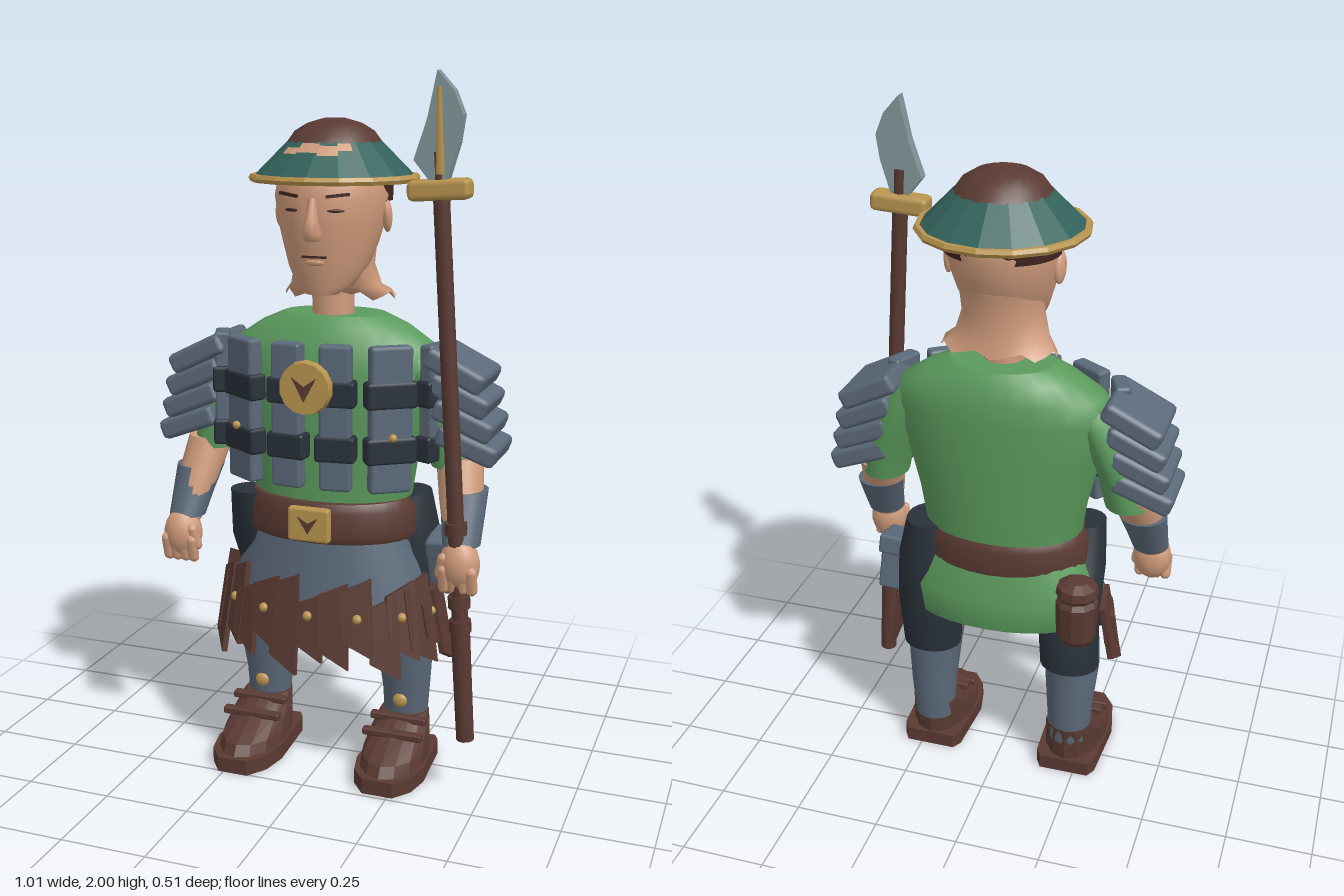
import * as THREE from 'three';
import { RoundedBoxGeometry } from 'three/addons/geometries/RoundedBoxGeometry.js';

const mat = (name, color, side = THREE.FrontSide) => {
  const m = new THREE.MeshStandardMaterial({ color, side });
  m.name = name;
  return m;
};

// Elliptical rings [y, rx, rz, cx, cz], listed bottom to top, joined into a smooth skin
function loft(rings, { n = 20, from = 0, to = Math.PI * 2, caps = true } = {}) {
  const pos = [], idx = [];
  const full = to - from > 6.28, cols = full ? n : n + 1;
  const addRing = ([y, rx, rz, cx = 0, cz = 0]) => {
    for (let j = 0; j < cols; j++) {
      const a = from + (to - from) * j / n;
      pos.push(cx + rx * Math.sin(a), y, cz + rz * Math.cos(a));
    }
  };
  rings.forEach(addRing);
  for (let i = 0; i < rings.length - 1; i++) for (let j = 0; j < n; j++) {
    const k = (j + 1) % cols, a = i * cols + j, b = i * cols + k;
    idx.push(a, b, b + cols, a, b + cols, a + cols);
  }
  if (full && caps) [rings[0], rings[rings.length - 1]].forEach((r, top) => {
    const s = pos.length / 3;
    addRing(r);
    pos.push(r[3] || 0, r[0], r[4] || 0);
    for (let j = 0; j < n; j++) {
      const k = (j + 1) % n;
      idx.push(s + n, s + (top ? j : k), s + (top ? k : j));
    }
  });
  const g = new THREE.BufferGeometry();
  g.setAttribute('position', new THREE.Float32BufferAttribute(pos, 3));
  g.setIndex(idx);
  g.computeVertexNormals();
  return g;
}

const flat = (g) => {
  const f = g.index ? g.toNonIndexed() : g;
  f.computeVertexNormals();
  return f;
};
const slab = (w, h, d, r = 0.01) => new RoundedBoxGeometry(w, h, d, 1, r);
const box = (w, h, d) => new THREE.BoxGeometry(w, h, d);
const cyl = (a, b, h, n = 12, open = false) => new THREE.CylinderGeometry(a, b, h, n, 1, open);
const ball = (r, n = 12) => new THREE.SphereGeometry(r, n, Math.ceil(n * 0.7));
const outline = (pts, depth) => new THREE.ExtrudeGeometry(
  new THREE.Shape(pts.map(([x, y]) => new THREE.Vector2(x, y))), { depth, bevelEnabled: false });

export function createModel() {
  const skin = mat('skin', 0xd09c7c, THREE.DoubleSide), green = mat('green cloth', 0x5b9a5c);
  const teal = mat('teal hat', 0x32625b, THREE.DoubleSide), brown = mat('brown leather', 0x5a3a32);
  const slate = mat('slate blue', 0x5b6979, THREE.DoubleSide), dark = mat('dark cloth', 0x29313a);
  const gold = mat('gold', 0xb8944e), steel = mat('steel', 0x82969a), hair = mat('dark hair', 0x41251f);

  const model = new THREE.Group();
  model.name = 'guard';
  const add = (name, geo, material, p = [0, 0, 0], r = [0, 0, 0], s = [1, 1, 1], parent = model) => {
    const m = new THREE.Mesh(geo, material);
    m.name = name;
    m.position.set(...p);
    m.rotation.set(...r);
    m.scale.set(...s);
    parent.add(m);
    return m;
  };

  // Torso, belt and tunic tail
  add('torso', loft([[0.78, 0.23, 0.155, 0, -0.01], [0.92, 0.25, 0.16, 0, -0.015], [1.08, 0.29, 0.165, 0, -0.015],
    [1.2, 0.325, 0.16, 0, -0.02], [1.26, 0.295, 0.15, 0, -0.025], [1.31, 0.22, 0.13, 0, -0.03],
    [1.34, 0.15, 0.105, 0, -0.03]], { n: 28 }), green);
  add('tunicTail', loft([[0.54, 0.2, 0.11, 0, -0.07], [0.55, 0.275, 0.14, 0, -0.06], [0.64, 0.29, 0.14, 0, -0.06],
    [0.74, 0.245, 0.14, 0, -0.035]], { n: 28 }), green);
  add('belt', loft([[0.71, 0.25, 0.172], [0.73, 0.26, 0.182], [0.8, 0.255, 0.18], [0.825, 0.235, 0.165]], { n: 28 }), brown);
  add('buckle', slab(0.125, 0.1, 0.03), gold, [0, 0.77, 0.187]);
  const notch = outline([[-0.03, 0.022], [0, -0.026], [0.03, 0.022], [0, 0.004]], 0.006);
  add('buckleNotch', notch, brown, [0, 0.772, 0.2]);

  // Head and neck
  add('neck', cyl(0.06, 0.06, 0.12, 16), skin, [0, 1.36, -0.01]);
  const nape = loft([[1.39, 0.165, 0.075, 0, -0.065], [1.42, 0.132, 0.1, 0, -0.035], [1.48, 0.114, 0.11, 0, -0.02],
    [1.55, 0.12, 0.12, 0, -0.022], [1.62, 0.13, 0.13, 0, -0.03]], { n: 24, caps: false });
  for (let j = 0; j < 24; j++) nape.attributes.position.setY(j, 1.39 + (j % 3 - 1) * 0.012);
  add('nape', nape, skin);
  add('head', loft([[1.405, 0.045, 0.035, 0, 0.085], [1.43, 0.082, 0.07, 0, 0.058], [1.48, 0.112, 0.115, 0, 0.025],
    [1.54, 0.132, 0.143, 0, 0.008], [1.6, 0.148, 0.16, 0, 0], [1.67, 0.16, 0.17, 0, -0.007],
    [1.73, 0.15, 0.16, 0, -0.01], [1.77, 0.11, 0.12, 0, -0.01]], { n: 28 }), skin);
  add('nose', loft([[1.555, 0.02, 0.014, 0, 0.155], [1.575, 0.028, 0.04, 0, 0.16], [1.61, 0.018, 0.032, 0, 0.158],
    [1.67, 0.012, 0.014, 0, 0.157]], { n: 10 }), skin);
  add('mouth', box(0.07, 0.006, 0.008), hair, [0, 1.512, 0.144]);
  add('lowerLip', ball(0.03), skin, [0, 1.497, 0.132], [0, 0, 0], [1.1, 0.4, 0.5]);
  add('hairBand', loft([[1.655, 0.161, 0.14, 0, -0.03], [1.72, 0.162, 0.15, 0, -0.033]],
    { n: 24, from: 1.0, to: Math.PI * 2 - 1.0 }), hair);
  for (const s of [-1, 1]) {
    add('brow', box(0.065, 0.008, 0.008), hair, [s * 0.07, 1.678, 0.15], [0, s * 0.42, s * 0.1]);
    add('eye', ball(0.02), hair, [s * 0.064, 1.637, 0.147], [0, s * 0.4, 0], [1.2, 0.22, 0.3]);
    add('ear', ball(0.046), skin, [s * 0.155, 1.615, -0.015], [0.15, s * 0.3, 0], [0.32, 1, 0.55]);
  }

  // Hat, with a torn bare patch at the front
  const hz = -0.02;
  add('hatBrim', flat(cyl(0.13, 0.23, 0.1, 16, true)), teal, [0, 1.765, hz]);
  add('hatRim', flat(new THREE.TorusGeometry(0.227, 0.012, 6, 16)), gold, [0, 1.716, hz], [Math.PI / 2, 0, 0]);
  add('hatCrown', loft([[1.812, 0.132, 0.132, 0, hz], [1.842, 0.11, 0.11, 0, hz], [1.863, 0.075, 0.075, 0, hz],
    [1.876, 0.03, 0.03, 0, hz]], { n: 20 }), brown);
  const patchRing = (y) => [y, 1.947 - y, 1.947 - y, 0, hz];
  for (const [from, to, low, high] of [[-0.68, -0.35, 1.784, 1.8], [-0.35, 0.05, 1.788, 1.812],
    [0.05, 0.4, 1.78, 1.806], [0.4, 0.66, 1.793, 1.812]])
    add('hatPatch', loft([patchRing(low), patchRing(high)], { n: 4, from, to }), skin);

  // Chest plates with two dark bands, wrapped round the chest
  const plates = [[0.07, 0.165, 0.12, 0.09, 1.075], [0.215, 0.13, 0.6, 0.12, 1.075], [0.32, 0.045, 1.2, 0.1, 1.13]];
  for (const s of [-1, 1]) for (const [x, z, turn, w, y] of plates) {
    const g = new THREE.Group();
    g.name = 'chestPlate';
    g.position.set(s * x, y, z);
    g.rotation.y = s * turn;
    model.add(g);
    const h = y > 1.1 ? 0.3 : 0.41;
    add('plate', slab(w, h, 0.045), slate, [0, 0, 0], [0, 0, 0], [1, 1, 1], g);
    for (const by of [1.145, 0.99]) if (by > y - h / 2)
      add('band', slab(w + 0.025, 0.075, 0.055), dark, [0, by - y, 0], [0, 0, 0], [1, 1, 1], g);
    if (turn === 0.6) add('rivet', ball(0.012, 8), gold, [0, -0.045, 0.03], [0, 0, 0], [1, 1, 1], g);
  }
  add('medallion', cyl(0.072, 0.076, 0.025, 14), gold, [0, 1.165, 0.215], [Math.PI / 2, 0, 0]);
  add('medallionNotch', notch, brown, [0, 1.165, 0.225], [0, 0, 0], [1.2, 1.4, 1]);

  // Arms, shoulder guards, legs and shoes, mirrored
  const soleHalf = [[0.075, -0.11], [0.092, -0.08], [0.102, 0.12], [0.085, 0.2], [0.045, 0.255]];
  const soleShape = [...soleHalf, ...soleHalf.map(([x, y]) => [-x, y]).reverse()];
  for (const s of [-1, 1]) {
    add('sleeve', loft([[0.93, 0.066, 0.078, s * 0.365, -0.005], [1.05, 0.068, 0.088, s * 0.34, -0.015],
      [1.18, 0.07, 0.092, s * 0.285, -0.02], [1.25, 0.05, 0.07, s * 0.24, -0.02]]), green);
    add('forearm', loft([[0.72, 0.042, 0.045, s * 0.417, 0.115], [0.85, 0.062, 0.065, s * 0.4, 0.05],
      [0.96, 0.066, 0.073, s * 0.38, 0]]), skin);
    add('wristGuard', loft([[0.735, 0.053, 0.055, s * 0.417, 0.105], [0.8, 0.06, 0.062, s * 0.411, 0.072],
      [0.875, 0.07, 0.07, s * 0.402, 0.035]]), slate);
    add('palm', ball(0.064), skin, [s * 0.42, 0.685, 0.13], [0, 0, 0], [0.9, 1.15, 0.8]);
    for (let i = 0; i < 4; i++)
      add('finger', new THREE.CapsuleGeometry(0.017, 0.055, 3, 8), skin, [s * (0.381 + i * 0.026), 0.645, 0.152], [0.25, 0, 0]);
    add('thumb', new THREE.CapsuleGeometry(0.016, 0.05, 3, 8), skin, [s * 0.374, 0.68, 0.15], [0.2, 0, -s * 0.2]);
    for (let i = 0; i < 4; i++)
      add('shoulderGuard', slab(0.18, 0.06, 0.215 - i * 0.004, 0.016), slate,
        [s * (0.382 + i * 0.012), 1.213 - i * 0.069, 0], [0, 0, -s * (0.46 - i * 0.035)]);

    add('leg', loft([[0.1, 0.062, 0.058, s * 0.22, -0.045], [0.22, 0.07, 0.068, s * 0.22, -0.045], [0.36, 0.083, 0.085, s * 0.22, -0.025],
      [0.5, 0.09, 0.1, s * 0.205, -0.02], [0.7, 0.1, 0.11, s * 0.15, -0.01]]), slate);
    add('shinStud', ball(0.022, 10), gold, [s * 0.22, 0.2, 0.02], [0, 0, 0], [1, 1, 0.6]);

    const shoe = new THREE.Group();
    shoe.name = 'shoe';
    shoe.position.x = s * 0.22;
    shoe.scale.z = s > 0 ? 0.93 : 1;
    model.add(shoe);
    add('sole', outline(soleShape, 0.045), brown, [0, 0.045, 0], [Math.PI / 2, 0, 0], [1, 1, 1], shoe);
    add('upper', flat(loft([[0.04, 0.096, 0.175, 0, 0.07], [0.075, 0.092, 0.165, 0, 0.058],
      [0.115, 0.085, 0.115, 0, 0.01], [0.155, 0.072, 0.075, 0, -0.035]], { n: 14 })), brown, [0, 0, 0], [0, 0, 0], [1, 1, 1], shoe);
    add('ankleStrap', slab(0.17, 0.022, 0.03, 0.006), brown, [0, 0.15, 0.035], [0, 0, 0], [1, 1, 1], shoe);
    add('toeStrap', slab(0.18, 0.022, 0.03, 0.006), brown, [0, 0.125, 0.1], [0, 0, 0], [1, 1, 1], shoe);
  }

  // Thigh cloth: the left one rises over the belt at the side, the right one at the front
  add('leftThighCloth', loft([[0.38, 0.089, 0.075, 0.218, -0.055], [0.55, 0.1, 0.09, 0.215, -0.065],
    [0.7, 0.09, 0.09, 0.22, -0.06], [0.825, 0.065, 0.075, 0.215, -0.065]]), dark);
  add('rightThighCloth', loft([[0.38, 0.089, 0.075, -0.218, -0.055], [0.55, 0.092, 0.085, -0.21, -0.05],
    [0.68, 0.075, 0.08, -0.225, 0.025], [0.82, 0.06, 0.06, -0.23, 0.06]]), dark);

  // Skirt: cloth panel with a fringe of torn leather strips and studs
  const clothRing = (y) => [y, 0.235 + 0.135 * (0.72 - y) / 0.37, 0.168 + 0.04 * (0.72 - y) / 0.37];
  const skirtAt = (a, y) => {
    const [, rx, rz] = clothRing(y);
    return [Math.sin(a) * rx, y, Math.cos(a) * rz];
  };
  add('skirtCloth', loft([clothRing(0.46), clothRing(0.6), clothRing(0.73)], { n: 24, from: -1.5, to: 1.5 }), slate);
  for (let i = 0; i < 15; i++) {
    const a = (i - 7) * 0.225;
    const top = 0.57 + [0.03, -0.02, 0.015][i % 3], low = 0.38 + [0, 0.03, -0.03, 0.015][i % 4];
    const g = box(0.086, top - low, 0.016), p = g.attributes.position;
    for (let k = 0; k < p.count; k++) p.setY(k, p.getY(k) + p.getX(k) * (p.getY(k) < 0 ? -0.6 : 0.4));
    const c = skirtAt(a, (top + low) / 2);
    const yaw = Math.atan2(Math.sin(a) / 0.32, Math.cos(a) / 0.195);
    const strip = add('skirtStrip', flat(g), brown, [c[0] * 1.02, c[1], c[2] * 1.04], [-0.17, yaw, 0.04]);
    strip.rotation.order = 'YXZ';
    if (i % 2) {
      const q = skirtAt(a, 0.505);
      add('skirtStud', ball(0.014, 8), gold, [q[0] * 1.04, q[1], q[2] * 1.09]);
    }
  }

  // Pouches
  add('flask', flat(loft([[0.54, 0.045, 0.045], [0.56, 0.058, 0.058], [0.67, 0.062, 0.062], [0.685, 0.052, 0.052],
    [0.7, 0.062, 0.062], [0.725, 0.058, 0.058], [0.74, 0.03, 0.03]], { n: 10 })), brown, [-0.26, 0, -0.155]);
  add('hipPouch', slab(0.075, 0.16, 0.105), slate, [0.335, 0.63, -0.03], [0.2, 0, 0.06]);
  add('hipPouchFlap', slab(0.085, 0.06, 0.115), slate, [0.335, 0.69, -0.02], [0.2, 0, 0.06]);

  // Spear, leaning inward toward the top
  const spear = new THREE.Group();
  spear.name = 'spear';
  spear.position.set(0.45, 0.17, 0.14);
  spear.rotation.z = 0.065;
  model.add(spear);
  const part = (name, geo, m, y) => add(name, geo, m, [0, y, 0], [0, 0, 0], [1, 1, 1], spear);
  part('shaft', cyl(0.022, 0.023, 1.63, 10), brown, 0.815);
  part('butt', cyl(0.027, 0.025, 0.36, 10), brown, 0.18);
  for (const y of [0.34, 0.41, 0.62]) part('shaftCollar', cyl(0.031, 0.031, 0.035, 10), brown, y);
  add('spearGuard', slab(0.17, 0.055, 0.07, 0.016), gold, [0.347, 1.7, 0.137], [0, 0, 0.06]);
  add('spearBlade', outline([[0.325, 1.72], [0.28, 1.775], [0.315, 1.88], [0.34, 2.0], [0.385, 1.95], [0.41, 1.89],
    [0.4, 1.82], [0.37, 1.72]], 0.035), steel, [0, 0, 0.124]);
  add('bladeRib', cyl(0.006, 0.013, 0.22, 6), gold, [0.35, 1.85, 0.16], [0, 0, 0.03]);
  return model;
}
